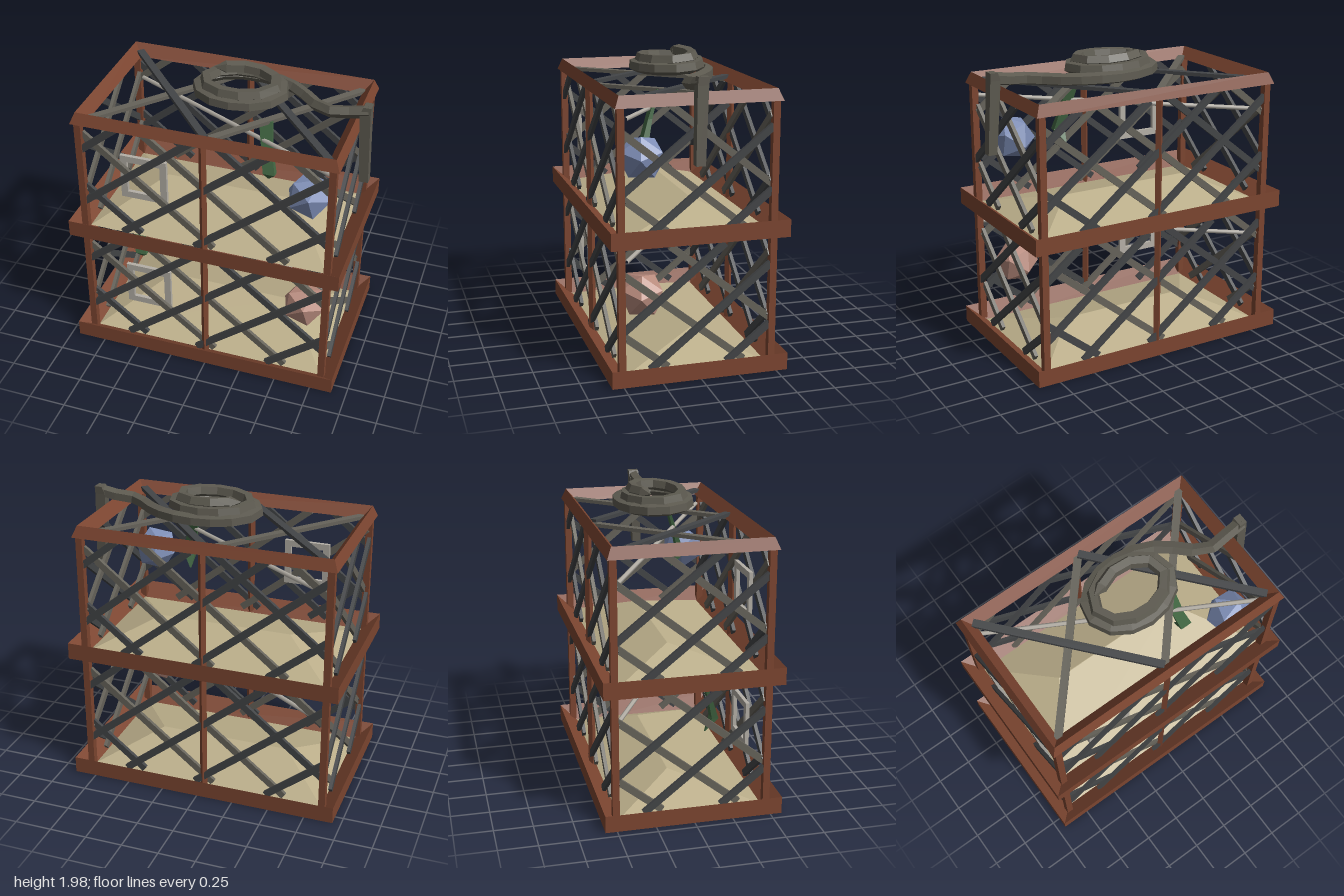
import * as THREE from 'three';

const mat = (name, color, extra = {}) => new THREE.MeshStandardMaterial({ name, color, ...extra });
const CX = -0.022; // cage centre in x

// Loft through equal loops of points; closed = last loop joins the first, otherwise both ends are capped
function loft(loops, closed) {
  const pos = [];
  const tri = (...p) => p.forEach((q) => pos.push(...q));
  const n = loops[0].length;
  for (let i = 0; i < loops.length - (closed ? 0 : 1); i++) {
    const A = loops[i], B = loops[(i + 1) % loops.length];
    for (let k = 0; k < n; k++) {
      const m = (k + 1) % n;
      tri(A[k], A[m], B[m]);
      tri(A[k], B[m], B[k]);
    }
  }
  if (!closed) {
    const A = loops[0], B = loops[loops.length - 1];
    for (let k = 1; k < n - 1; k++) {
      tri(A[0], A[k + 1], A[k]);
      tri(B[0], B[k], B[k + 1]);
    }
  }
  const g = new THREE.BufferGeometry();
  g.setAttribute('position', new THREE.Float32BufferAttribute(pos, 3));
  g.computeVertexNormals();
  return g;
}

// Rectangle loop with half sizes hx, hz at height y
const rect = (hx, hz, y, cx = 0, cz = 0) =>
  [[1, 1], [1, -1], [-1, -1], [-1, 1]].map(([sx, sz]) => [cx + sx * hx, y, cz + sz * hz]);

export function createModel() {
  const wood = mat('brown wood', 0x7c4530);
  const sand = mat('sand', 0xbbae8a);
  const darkBar = mat('dark iron', 0x434547);
  const paleBar = mat('pale iron', 0x66635a);
  const scales = mat('grey scales', 0x5d5a50, { flatShading: true });
  const steel = mat('light steel', 0xb5b0a7);
  const blue = mat('blue', 0x7f8fb8, { flatShading: true });
  const pink = mat('pink', 0xba8c7e, { flatShading: true });
  const green = mat('green leaf', 0x426743, { flatShading: true });

  const model = new THREE.Group();
  const cage = new THREE.Group();
  cage.name = 'cage';
  cage.position.x = CX;
  model.add(cage);

  const add = (parent, name, geo, material, x = 0, y = 0, z = 0) => {
    const m = new THREE.Mesh(geo, material);
    m.name = name;
    m.position.set(x, y, z);
    parent.add(m);
    return m;
  };

  // Flat bar between two points of a panel
  const bar = (parent, name, material, u0, v0, u1, v1, w, depth) => {
    const len = Math.hypot(u1 - u0, v1 - v0);
    const m = add(parent, name, new THREE.BoxGeometry(len, w, 0.024), material, (u0 + u1) / 2, (v0 + v1) / 2, depth);
    m.rotation.z = Math.atan2(v1 - v0, u1 - u0);
  };

  // Mitred frames with a triangular section
  for (const [name, y] of [['baseFrame', 0], ['middleFrame', 0.885]]) {
    add(cage, name, loft([rect(0.922, 0.575, y), rect(0.922, 0.575, y + 0.113), rect(0.78, 0.435, y)], true), wood);
  }
  add(cage, 'topFrame', loft([rect(0.872, 0.53, 1.735), rect(0.842, 0.5, 1.81), rect(0.78, 0.435, 1.735)], true), wood);

  // Posts
  for (const sz of [1, -1]) {
    for (const sx of [1, -1]) {
      add(cage, 'cornerPost', new THREE.BoxGeometry(0.045, 1.7, 0.045), wood, sx * 0.83, 0.89, sz * 0.492);
    }
    add(cage, 'middlePost', new THREE.CylinderGeometry(0.025, 0.025, 1.7, 4).toNonIndexed(), wood, 0, 0.89, sz * 0.492)
      .geometry.computeVertexNormals();
  }

  // Lattice walls: sloping bars clipped to each panel
  const slope = 0.8, h = 0.74;
  const wall = (angle, dist, half, starts) => {
    const g = new THREE.Group();
    g.name = 'latticeWall';
    g.rotation.y = angle;
    cage.add(g);
    for (const y0 of [0.115, 0.995]) {
      for (const c of starts) {
        const u0 = Math.max(c - 0.06, -half), u1 = Math.min(c + h / slope, half);
        const v0 = y0 + slope * (u0 - c), v1 = y0 + slope * (u1 - c);
        const short = c === -1 || c === 0.5;
        bar(g, 'risingBar', darkBar, u0, v0, u1, v1, 0.045, dist + 0.011);
        bar(g, 'fallingBar', short ? darkBar : paleBar, -u0, v0, -u1, v1, 0.045, dist - 0.011);
      }
    }
  };
  for (const a of [0, Math.PI]) wall(a, 0.485, 0.82, [-1.5, -1, -0.5, 0, 0.5]);
  for (const a of [Math.PI / 2, -Math.PI / 2]) wall(a, 0.825, 0.48, [-0.75, -0.25, 0.25]);

  // Two crosses over the roof opening
  const roof = new THREE.Group();
  roof.name = 'roofLattice';
  roof.rotation.x = -Math.PI / 2;
  cage.add(roof);
  for (const u of [-0.79, 0]) {
    bar(roof, 'roofBar', darkBar, u, 0.455, u + 0.79, -0.455, 0.05, 1.765);
    bar(roof, 'roofBar', paleBar, u, -0.455, u + 0.79, 0.455, 0.05, 1.745);
  }

  // Contents of the two storeys
  [[0, pink, -0.645, 0], [0.885, blue, 0.27, 0.865]].forEach(([y, ballMat, leafX, leafDy]) => {
    // Hipped sand bed
    add(cage, 'sandBed', loft([
      rect(0.78, 0.435, y + 0.006), rect(0.815, 0.465, y + 0.03), rect(0.46, 0.002, y + 0.172, 0, -0.07),
    ]), sand);

    // Perch running corner to corner
    const a = new THREE.Vector3(-0.8, y + 0.677, -0.455), b = new THREE.Vector3(0.79, y + 0.775, 0.455);
    add(model, 'perch', new THREE.TubeGeometry(new THREE.LineCurve3(a, b), 1, 0.015, 6), steel);

    // Square hanging frame
    const s = new THREE.Shape([[-1, -1], [1, -1], [1, 1], [-1, 1]].map(([i, j]) => new THREE.Vector2(i * 0.158, j * 0.158)));
    s.holes.push(new THREE.Path([[-1, -1], [-1, 1], [1, 1], [1, -1]].map(([i, j]) => new THREE.Vector2(i * 0.113, j * 0.113))));
    add(model, 'squareFrame', new THREE.ExtrudeGeometry(s, { depth: 0.025, bevelEnabled: false }), steel, -0.44, y + 0.475, 0.43);

    // Faceted ball
    add(model, 'ball', new THREE.IcosahedronGeometry(0.153, 0), ballMat, 0.623, y + 0.5, 0.31).rotation.set(0.25, 0.3, 0.15);

    // Hanging leaf with a hooked tip
    const leaf = loft([
      rect(0.004, 0.004, 0.475, 0.035, 0.15),
      rect(0.04, 0.022, 0.56, 0.06, 0.215),
      rect(0.036, 0.014, 0.7, 0.03, 0.175),
      rect(0.045, 0.008, 0.885, 0, 0.115),
    ]);
    add(model, 'leaf', leaf, green, leafX, leafDy, 0);
  });

  // Snake: body leads in from the roof edge, then coils upward
  const pts = [[0.9, 1.875, 0.01], [0.76, 1.85, 0.015], [0.62, 1.84, 0.02], [0.52, 1.835, -0.06], [0.41, 1.84, -0.16], [0.27, 1.845, -0.23]]
    .map((p) => new THREE.Vector3(...p));
  const N = 20;
  for (let i = 0; i <= N; i++) {
    const t = i / N, ang = -Math.PI * (0.45 + 4.3 * t);
    pts.push(new THREE.Vector3(
      0.07 + (0.31 - 0.1 * t) * Math.cos(ang), 1.845 + 0.1 * t, -0.02 + (0.235 - 0.09 * t) * Math.sin(ang)));
  }
  const body = new THREE.CatmullRomCurve3(pts);
  add(model, 'snakeBody', new THREE.TubeGeometry(body, 32, 0.042, 5), scales);
  const end = body.getPoint(1), dir = body.getTangent(1);
  const head = add(model, 'snakeHead', new THREE.ConeGeometry(0.045, 0.08, 5), scales);
  head.position.copy(end).addScaledVector(dir, 0.035);
  head.quaternion.setFromUnitVectors(new THREE.Vector3(0, 1, 0), dir);

  // Tail hanging over the side
  add(model, 'snakeTail', loft([
    rect(0.03, 0.03, 1.38, 0.905, 0.027), rect(0.035, 0.035, 1.86, 0.88, 0.01), rect(0.025, 0.035, 1.912, 0.89, 0.005),
  ]), scales);

  return model;
}
